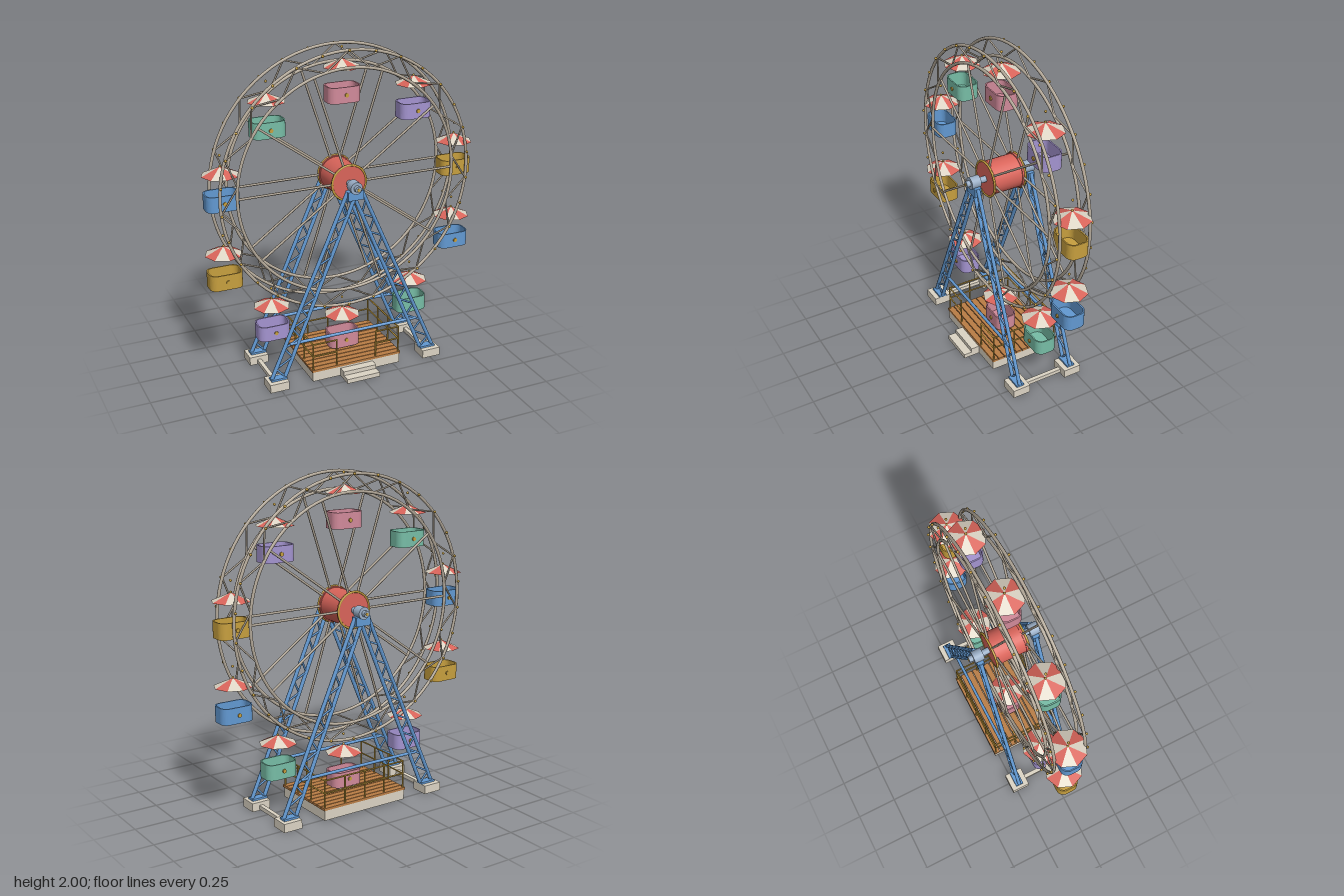
import * as THREE from 'three';
import { mergeGeometries } from 'three/addons/utils/BufferGeometryUtils.js';

const V = (x, y, z) => new THREE.Vector3(x, y, z);
const mat = (name, color, side = THREE.FrontSide) => {
  const m = new THREE.MeshStandardMaterial({ color, side });
  m.name = name;
  return m;
};

// straight bar between two points
function rod(a, b, r, sides = 6) {
  const d = b.clone().sub(a);
  const g = new THREE.CylinderGeometry(r, r, d.length(), sides);
  g.applyQuaternion(new THREE.Quaternion().setFromUnitVectors(V(0, 1, 0), d.normalize()));
  const m = a.clone().add(b).multiplyScalar(0.5);
  return g.translate(m.x, m.y, m.z);
}
const box = (w, h, d, x, y, z) => new THREE.BoxGeometry(w, h, d).translate(x, y, z);
const zCyl = (r, len, x, y, z, n = 24) =>
  new THREE.CylinderGeometry(r, r, len, n).rotateX(Math.PI / 2).translate(x, y, z);
const ball = (r, x, y, z) => new THREE.SphereGeometry(r, 8, 6).translate(x, y, z);

// rounded rectangle outline for the tubs
function roundRect(path, w, d, r) {
  const x = w / 2, y = d / 2;
  path.moveTo(-x + r, -y).lineTo(x - r, -y);
  path.absarc(x - r, -y + r, r, -Math.PI / 2, 0);
  path.absarc(x - r, y - r, r, 0, Math.PI / 2);
  path.absarc(-x + r, y - r, r, Math.PI / 2, Math.PI);
  path.absarc(-x + r, -y + r, r, Math.PI, Math.PI * 1.5);
  return path;
}
const extrudeUp = (shape, h, y) => new THREE.ExtrudeGeometry(shape, { depth: h, bevelEnabled: false, curveSegments: 5 })
  .rotateX(-Math.PI / 2).translate(0, y, 0);

export function createModel() {
  const cream = mat('cream', 0xdcd4c4), steel = mat('steel', 0xb5aa9a);
  const red = mat('red', 0xd9645a), blue = mat('blue', 0x6299d2);
  const brass = mat('brass', 0xc79f3e), wood = mat('wood', 0xb97d45);
  const pink = mat('pink', 0xd18a9a), purple = mat('purple', 0xa494d0);
  const green = mat('green', 0x77bda6), greyBlue = mat('greyBlue', 0x9aaec6);

  const root = new THREE.Group();
  const add = (name, geos, material, parent = root) => {
    const m = new THREE.Mesh(Array.isArray(geos) ? mergeGeometries(geos) : geos, material);
    m.name = name;
    parent.add(m);
    return m;
  };
  const CY = 1.204, CZ = -0.043, R = 0.787, RI = 0.685, RIM = 0.096, FRAME = 0.18;
  const polar = (r, deg, z) => V(r * Math.cos(deg * Math.PI / 180), r * Math.sin(deg * Math.PI / 180), z);

  // wheel: rims, lattice, spokes and bulbs on both sides
  const wheel = new THREE.Group();
  wheel.name = 'wheel';
  wheel.position.set(0, CY, CZ);
  root.add(wheel);
  const rims = [], lattice = [], spokes = [], bulbs = [], flanges = [], trims = [];
  for (const s of [-1, 1]) {
    const z = s * RIM;
    for (const r of [R, RI]) rims.push(new THREE.TorusGeometry(r, 0.0095, 8, 90).translate(0, 0, z));
    for (let i = 0; i < 30; i++) {
      const a = 90 + i * 12, even = i % 2 === 0;
      lattice.push(rod(polar(even ? R : RI, a, z), polar(even ? RI : R, a + 12, z), 0.0055));
      const p = polar(R, a, z + s * 0.014);
      bulbs.push(ball(0.008, p.x, p.y, p.z));
    }
    for (let i = 0; i < 10; i++) spokes.push(rod(polar(0.06, i * 36, z), polar(RI, i * 36, z), 0.0075));
    flanges.push(zCyl(0.108, 0.02, 0, 0, z, 32));
    trims.push(new THREE.TorusGeometry(0.108, 0.007, 6, 32).translate(0, 0, z + s * 0.008));
  }
  add('rims', rims, steel, wheel);
  add('rimLattice', lattice, steel, wheel);
  add('spokes', spokes, steel, wheel);
  add('rimBulbs', bulbs, brass, wheel);
  add('hubDrum', [...flanges, zCyl(0.102, 0.19, 0, 0, 0, 32)], red, wheel);
  add('hubTrim', trims, brass, wheel);

  // shared cabin geometry, measured from the pivot
  const shell = roundRect(new THREE.Shape(), 0.2, 0.134, 0.045);
  shell.holes.push(roundRect(new THREE.Path(), 0.184, 0.118, 0.037));
  const tub = mergeGeometries([
    extrudeUp(shell, 0.095, -0.316),
    extrudeUp(roundRect(new THREE.Shape(), 0.196, 0.13, 0.044), 0.008, -0.316),
  ]);
  const knobs = mergeGeometries([-1, 1].map(s => zCyl(0.012, 0.012, 0, -0.268, s * 0.068, 10)));
  const panels = [[], []];
  for (let i = 0; i < 8; i++) {
    const g = new THREE.ConeGeometry(0.113, 0.05, 1, 1, true, i * Math.PI / 4, Math.PI / 4)
      .translate(0, -0.09, 0).toNonIndexed();
    g.computeVertexNormals();
    panels[i % 2].push(g);
  }
  const soffit = new THREE.CircleGeometry(0.112, 8).rotateX(Math.PI / 2).translate(0, -0.115, 0);
  const redPanels = mergeGeometries(panels[0]), creamPanels = mergeGeometries(panels[1]);
  const pins = mergeGeometries([ball(0.008, 0, 0, 0), ball(0.007, 0, -0.064, 0)]);
  const tubColours = [pink, purple, brass, blue, green];

  // ten cabins, clockwise from the top
  for (let i = 0; i < 10; i++) {
    const cabin = new THREE.Group();
    cabin.name = 'cabin';
    cabin.position.copy(polar(R, 90 - i * 36, 0));
    wheel.add(cabin);
    add('cabinTub', tub, tubColours[i % 5], cabin);
    add('cabinKnobs', knobs, brass, cabin);
    add('canopyRedPanels', redPanels, red, cabin);
    add('canopyCreamPanels', creamPanels, cream, cabin);
    add('canopyUnderside', soffit, red, cabin);
    add('pivotPins', pins, brass, cabin);
  }

  // axle and bearings
  add('axle', zCyl(0.019, 0.47, 0, CY, CZ, 16), greyBlue);
  add('bearings', [-1, 1].map(s => zCyl(0.037, 0.06, 0, CY, CZ + s * FRAME)), greyBlue);
  add('axleCaps', [-1, 1].map(s => zCyl(0.009, 0.008, 0, CY, CZ + s * 0.236, 10)), brass);

  // lattice A-frames on both sides
  const rails = [], braces = [], gussets = [], plates = [], feet = [];
  for (const s of [-1, 1]) {
    const z = CZ + s * FRAME;
    for (const m of [-1, 1]) {
      const outTop = V(m * 0.045, 1.18, z), outLow = V(m * 0.54, 0.06, z);
      const inTop = V(m * -0.005, 1.15, z), inLow = V(m * 0.455, 0.06, z);
      rails.push(rod(outTop, outLow, 0.012, 8), rod(inTop, inLow, 0.012, 8));
      const N = 18;
      for (let i = 0; i < N; i++) {
        const [a, b, c, d] = i % 2 ? [outTop, outLow, inTop, inLow] : [inTop, inLow, outTop, outLow];
        braces.push(rod(a.clone().lerp(b, i / N), c.clone().lerp(d, (i + 1) / N), 0.0065));
      }
      plates.push(box(0.1, 0.012, 0.05, m * 0.5, 0.059, z));
      feet.push(box(0.12, 0.053, 0.113, m * 0.51, 0.0265, z));
    }
    gussets.push(box(0.1, 0.055, 0.042, 0, 1.155, z));
    rails.push(rod(V(-0.42, 0.27, z), V(0.42, 0.27, z), 0.01, 8));
  }
  add('legRails', rails, blue);
  add('legBraces', braces, blue);
  add('legGussets', gussets, blue);
  add('footPlates', plates, blue);
  add('footings', feet, cream);
  add('groundTies', [-1, 1].map(m => box(0.025, 0.025, 0.3, m * 0.51, 0.02, CZ)), cream);

  // boarding platform with plank deck and steps
  const PZ = -0.048, planks = [];
  add('platformBase', box(0.58, 0.064, 0.45, 0, 0.036, PZ), cream);
  for (let i = 0; i < 11; i++) planks.push(box(0.592, 0.015, 0.037, 0, 0.074, PZ + (i - 5) * 0.042));
  add('deckPlanks', planks, wood);
  add('steps', [box(0.216, 0.028, 0.11, 0, 0.014, 0.225), box(0.216, 0.054, 0.06, 0, 0.027, 0.198)], cream);
  add('dockBlocks', [-1, 1].map(m => box(0.022, 0.014, 0.08, m * 0.05, 0.088, CZ)), steel);

  // railing around the deck, open at the steps
  const rail = [], zb = PZ - 0.218, zf = PZ + 0.218, X = 0.285;
  const runs = [[-X, zb, X, zb, 4], [-X, zb, -X, zf, 3], [X, zb, X, zf, 3], [-X, zf, -0.13, zf, 1], [0.13, zf, X, zf, 1]];
  for (const [x0, z0, x1, z1, n] of runs) {
    for (const y of [0.17, 0.25]) rail.push(rod(V(x0, y, z0), V(x1, y, z1), 0.005));
    for (let i = 0; i <= n; i++) {
      const x = x0 + (x1 - x0) * i / n, z = z0 + (z1 - z0) * i / n;
      rail.push(rod(V(x, 0.075, z), V(x, 0.255, z), 0.005));
    }
  }
  add('railing', rail, brass);

  return root;
}
